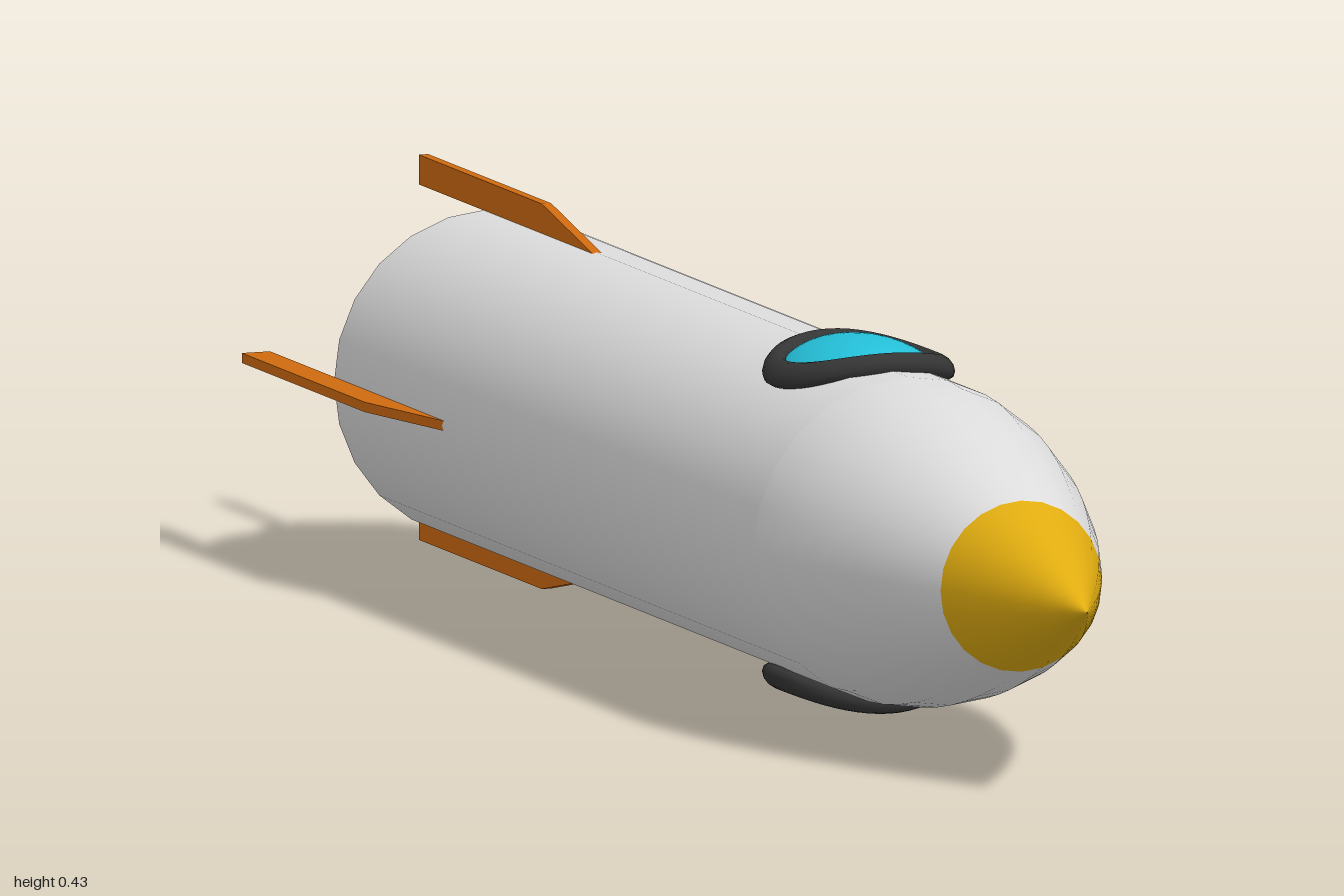
import * as THREE from 'three';
import { mergeVertices } from 'three/addons/utils/BufferGeometryUtils.js';

const SIDES = 24, R = 0.181, AXIS_Y = 0.213;

function material(name, color) {
  const m = new THREE.MeshStandardMaterial({ color });
  m.name = name;
  return m;
}

// Drop a flat geometry over the curve of the hull, with smooth normals
function wrapOnHull(geometry) {
  geometry.deleteAttribute('uv');
  geometry.deleteAttribute('normal');
  const g = mergeVertices(geometry, 1e-5);
  const p = g.attributes.position;
  for (let i = 0; i < p.count; i++) p.setY(i, p.getY(i) - 2.1 * p.getX(i) ** 2);
  g.computeVertexNormals();
  return g;
}

// Curved nose profile, turned around the z axis
function noseSection(z0, z1, steps) {
  const points = [];
  for (let i = 0; i <= steps; i++) {
    const z = z0 + (z1 - z0) * i / steps;
    const t = Math.min(1, (z - 0.46) / 0.54);
    points.push(new THREE.Vector2(R * (1 - t ** 1.6), z));
  }
  return new THREE.LatheGeometry(points, SIDES).rotateX(Math.PI / 2);
}

export function createModel() {
  const white = material('hull white', 0xdcdcdc);
  const gold = material('nose gold', 0xe0ac10);
  const dark = material('dark grey', 0x353535);
  const cyan = material('window cyan', 0x24bfd8);
  const orange = material('fin orange', 0xcf6a10);

  const model = new THREE.Group();
  model.name = 'rocket';
  const rocket = new THREE.Group();
  rocket.name = 'rocketBody';
  rocket.position.y = AXIS_Y;
  model.add(rocket);

  function add(parent, name, geometry, mat) {
    const mesh = new THREE.Mesh(geometry, mat);
    mesh.name = name;
    parent.add(mesh);
    return mesh;
  }

  // Hull
  add(rocket, 'hull', new THREE.CylinderGeometry(R, R, 1.265, SIDES, 1, true)
    .rotateX(Math.PI / 2).translate(0, 0, -0.1725), white);
  add(rocket, 'hullBack', new THREE.CircleGeometry(R, SIDES)
    .rotateY(Math.PI).translate(0, 0, -0.805), white);
  add(rocket, 'noseCone', noseSection(0.46, 0.8, 8), white);
  add(rocket, 'noseTip', noseSection(0.8, 1, 6), gold);

  // Engine nozzle, narrowing to the rear
  add(rocket, 'nozzle', new THREE.CylinderGeometry(0.126, 0.09, 0.12, SIDES)
    .rotateX(Math.PI / 2).translate(0, 0, -0.86), dark);

  // Four fins around the tail
  const finShape = new THREE.Shape([[-1, 0.18], [-0.475, 0.18], [-0.63, 0.213], [-1, 0.213]]
    .map(([z, r]) => new THREE.Vector2(z, r)));
  const finGeometry = new THREE.ExtrudeGeometry(finShape, { depth: 0.011, bevelEnabled: false })
    .translate(0, 0, -0.0055).rotateY(-Math.PI / 2);
  ['topFin', 'leftFin', 'bottomFin', 'rightFin'].forEach((name, i) => {
    add(rocket, name, finGeometry, orange).rotation.z = -i * Math.PI / 2;
  });

  // Round windows on top and underneath
  const frame = wrapOnHull(new THREE.TorusGeometry(0.092, 0.0135, 12, 48)
    .rotateX(Math.PI / 2)).translate(0, 0.186, 0);
  const glass = wrapOnHull(new THREE.SphereGeometry(1, 40, 10, 0, Math.PI * 2, 0, Math.PI / 2)
    .scale(0.085, 0.024, 0.085)).translate(0, 0.182, 0);
  ['topWindow', 'bottomWindow'].forEach((name, i) => {
    const win = new THREE.Group();
    win.name = name;
    win.position.z = 0.31;
    win.rotation.z = i * Math.PI;
    add(win, 'windowFrame', frame, dark);
    add(win, 'windowGlass', glass, cyan);
    rocket.add(win);
  });

  return model;
}
